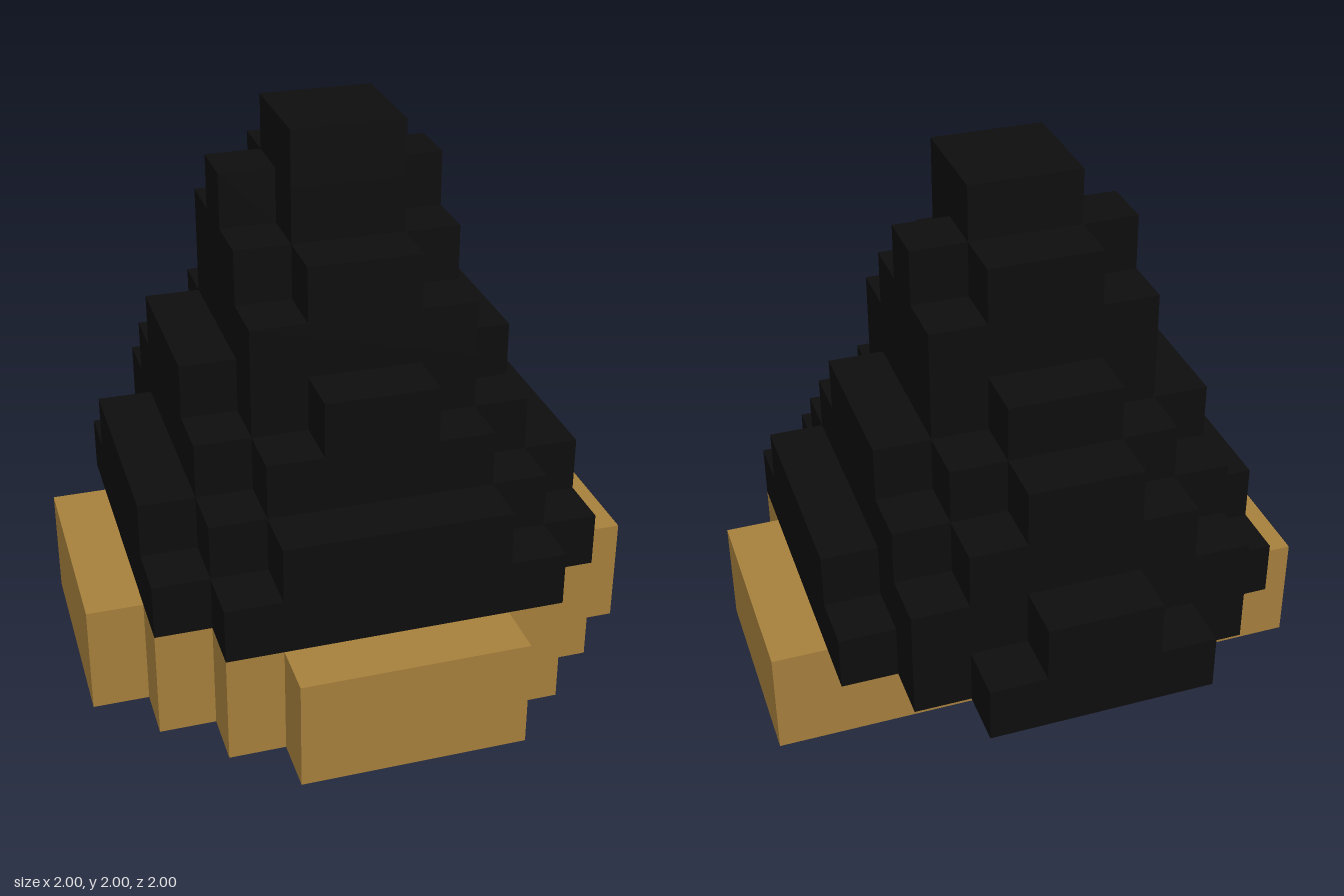
import * as THREE from 'three';

const U = 0.2; // size of one block

// Extrudes a stepped, mirrored footprint. Steps run from back to front:
// [z where the step begins, half width], closed by the front z.
function slab(name, material, y, height, steps, front) {
  const side = [];
  steps.forEach(([z, w], i) => {
    const end = i + 1 < steps.length ? steps[i + 1][0] : front;
    side.push([w, z], [w, end]);
  });
  const outline = [...side, ...side.map(([x, z]) => [-x, z]).reverse()];
  const shape = new THREE.Shape(outline.map(([x, z]) => new THREE.Vector2(x * U, -z * U)));
  const geometry = new THREE.ExtrudeGeometry(shape, { depth: height * U, bevelEnabled: false });
  geometry.rotateX(-Math.PI / 2);
  const mesh = new THREE.Mesh(geometry, material);
  mesh.name = name;
  mesh.position.y = y * U;
  return mesh;
}

export function createModel() {
  const model = new THREE.Group();
  model.name = 'steppedMound';
  const tan = new THREE.MeshStandardMaterial({ color: 0xa57f3c });
  tan.name = 'tan';
  const black = new THREE.MeshStandardMaterial({ color: 0x0d0d0d });
  black.name = 'black';

  // Base: flat back, rounded stepped front
  model.add(slab('base', tan, 0, 2, [[-2, 5], [2, 4], [3, 3], [4, 2]], 5));

  // Mound: one block high layers from bottom to top, as [steps, front z]
  const layers = [
    [[[-5, 2], [-4, 3], [-3, 4], [3, 3]], 4],
    [[[-5, 1], [-4, 3], [-2, 4], [2, 3], [3, 2]], 4],
    [[[-4, 2], [-3, 3], [2, 2]], 3],
    [[[-4, 1], [-3, 2], [-2, 3], [1, 2], [2, 1]], 3],
    [[[-3, 1], [-2, 2]], 2],
    [[[-2, 2], [1, 1]], 2],
    [[[-2, 1], [-1, 2], [0, 1]], 1],
    [[[-1, 1]], 1],
  ];
  const mound = new THREE.Group();
  mound.name = 'mound';
  layers.forEach(([steps, front], i) => {
    mound.add(slab('moundLayer' + (i + 1), black, 2 + i, 1, steps, front));
  });
  model.add(mound);
  return model;
}
